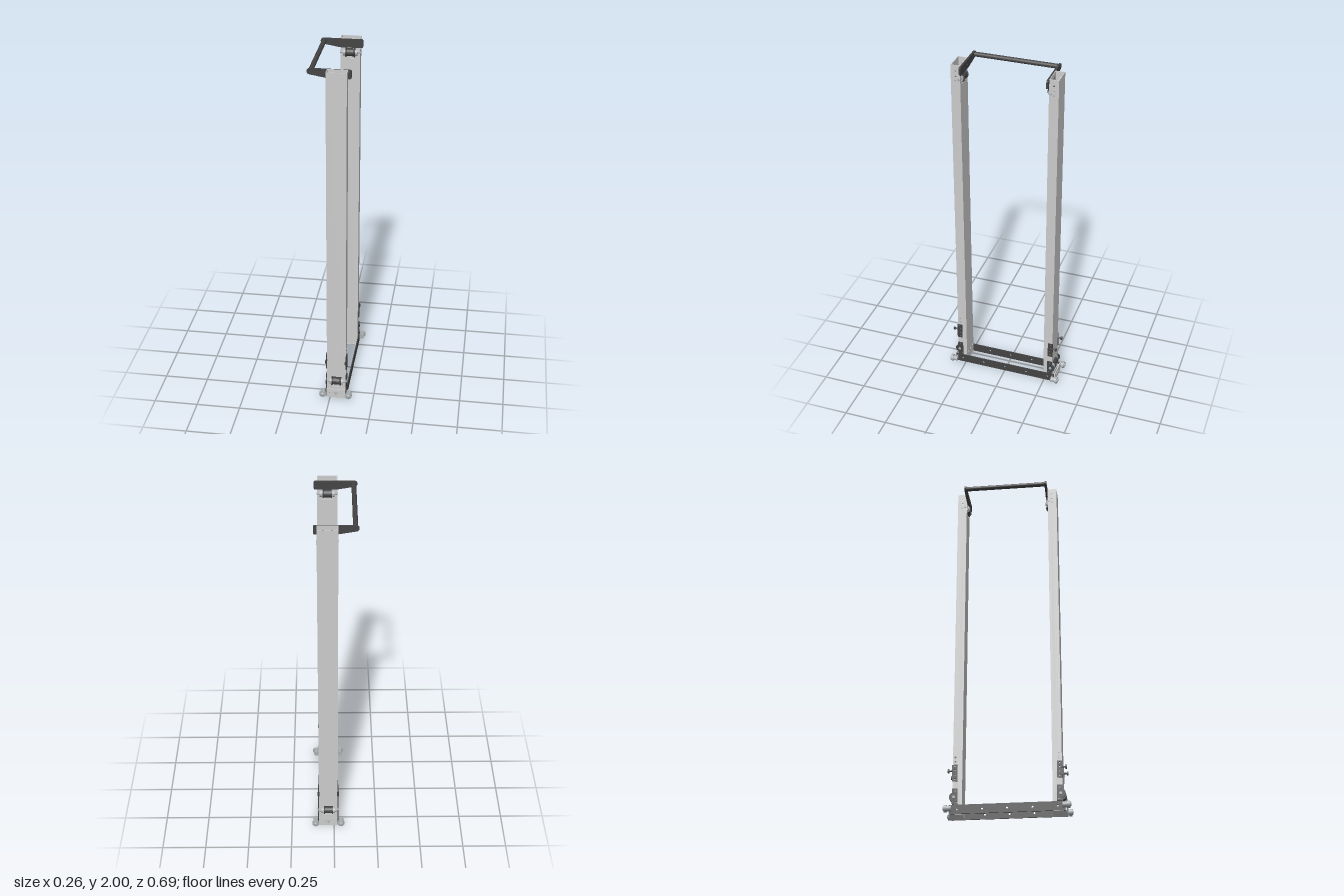
import * as THREE from 'three';

const CX = 0.034; // middle of the columns along x
const grey = new THREE.MeshStandardMaterial({ color: 0xcccccc });
const steel = new THREE.MeshStandardMaterial({ color: 0xaab0b3 });
const dark = new THREE.MeshStandardMaterial({ color: 0x444444 });

function add(parent, name, geo, mat, x = 0, y = 0, z = 0) {
  const m = new THREE.Mesh(geo, mat);
  m.name = name;
  m.position.set(x, y, z);
  parent.add(m);
  return m;
}
const box = (w, h, d) => new THREE.BoxGeometry(w, h, d);
const rodX = (r, len, n = 24) => new THREE.CylinderGeometry(r, r, len, n).rotateZ(Math.PI / 2);
const rodZ = (r, len, n = 24) => new THREE.CylinderGeometry(r, r, len, n).rotateX(Math.PI / 2);

function rect(x0, y0, x1, y1, Type = THREE.Shape) {
  const s = new Type();
  s.moveTo(x0, y0); s.lineTo(x1, y0); s.lineTo(x1, y1); s.lineTo(x0, y1); s.closePath();
  return s;
}
const hole = (x, y, r) => new THREE.Path().absarc(x, y, r, 0, Math.PI * 2, true);

// Sheet in the xy plane, centred on z = 0
function sheet(shape, holes, t) {
  shape.holes.push(...holes);
  return new THREE.ExtrudeGeometry(shape, { depth: t, bevelEnabled: false, curveSegments: 10 }).translate(0, 0, -t / 2);
}
// Sheet drawn in (z, y), facing along x
const sideSheet = (shape, holes, t) => sheet(shape, holes, t).rotateY(-Math.PI / 2);

// Grooved belt pulley with bearings on both sides
function pulley(parent, name, y, z) {
  const g = new THREE.Group();
  g.name = name;
  g.position.set(0, y, z);
  const profile = [[0, -0.026], [0.027, -0.026], [0.027, -0.022], [0.022, -0.02], [0.022, 0.02],
    [0.027, 0.022], [0.027, 0.026], [0, 0.026]].map(p => new THREE.Vector2(...p));
  const drum = new THREE.LatheGeometry(profile, 28).rotateZ(Math.PI / 2).toNonIndexed();
  drum.computeVertexNormals();
  add(g, 'drum', drum, dark);
  for (const s of [-1, 1]) {
    add(g, 'bearing', rodX(0.02, 0.012), steel, s * 0.034);
    add(g, 'axleCollar', rodX(0.011, 0.014), steel, s * 0.046);
  }
  add(g, 'axle', rodX(0.006, 0.116, 16), steel);
  parent.add(g);
}

// One column with its fittings; local +z points outwards
function makeEnd() {
  const g = new THREE.Group();
  const t = 0.004, zi = 0.244, zo = 0.297, hw = 0.055;

  // Hollow rectangular column
  add(g, 'columnOuterWall', sheet(rect(-hw, 0.01, hw, 2),
    [rect(-0.03, 0.065, 0.03, 0.135, THREE.Path)], t), grey, 0, 0, zo - t / 2);
  add(g, 'columnInnerWall', sheet(rect(-hw, 0.01, hw, 2),
    [rect(-0.03, 1.885, 0.03, 1.945, THREE.Path), hole(-0.035, 0.07, 0.005), hole(0, 0.07, 0.005), hole(0.035, 0.07, 0.005)], t),
  grey, 0, 0, zi + t / 2);
  for (const s of [-1, 1]) {
    const holes = [[0.27, 1.965], [0.27, 1.935], [0.283, 0.3], [0.283, 0.325]].map(p => hole(...p, 0.005));
    add(g, 'columnSideWall', sideSheet(rect(zi + t, 0.01, zo - t, 2), holes, t), grey, s * (hw - t / 2));
  }

  pulley(g, 'upperPulley', 1.917, 0.254);
  pulley(g, 'lowerPulley', 0.1, 0.288);

  for (const s of [-1, 1]) {
    // Lower bearing plate with a rounded outer lobe
    const low = new THREE.Shape();
    low.moveTo(0.268, 0.058); low.lineTo(0.297, 0.058); low.lineTo(0.297, 0.077);
    low.absarc(0.289, 0.1, 0.025, -1.2, 1.2, false);
    low.lineTo(0.297, 0.147); low.lineTo(0.268, 0.147); low.closePath();
    add(g, 'bearingPlate', sideSheet(low, [hole(0.282, 0.135, 0.004), hole(0.276, 0.07, 0.004)], 0.005), dark, s * 0.0575);
    add(g, 'bearingBolt', rodX(0.009, 0.006, 6), steel, s * 0.06, 0.1, 0.288);
    // Belt clamp with adjusting knob
    add(g, 'clampPlate', sideSheet(rect(0.27, 0.188, 0.3, 0.282),
      [0.2, 0.225, 0.25, 0.272].map(y => hole(0.284, y, 0.004)), 0.005), dark, s * 0.0575);
    add(g, 'knobStem', rodZ(0.005, 0.02, 12), dark, s * 0.057, 0.247, 0.305);
    add(g, 'knob', rodZ(0.012, 0.009, 16).scale(0.5, 1, 1), dark, s * 0.057, 0.247, 0.319);
    // Side bolts near the top, and arm fixing bolts
    add(g, 'topBolt', rodX(0.005, 0.004, 12), steel, s * 0.055, 1.91, 0.272);
    add(g, 'armBolt', rodZ(0.004, 0.022, 12), dark, s * 0.023, 1.975, 0.24);
  }

  // Foot bracket
  add(g, 'footPlate', box(0.112, 0.006, 0.075), grey, 0, 0.006, 0.28);
  const bar = rect(-0.075, 0.016, 0.075, 0.048);
  add(g, 'wheelBar', sheet(bar, [-0.045, -0.02, 0.02, 0.045].map(x => hole(x, 0.032, 0.006)), 0.006), steel, 0, 0, 0.302);
  add(g, 'footFace', sheet(rect(-0.055, 0.003, 0.055, 0.058),
    [-0.04, -0.015, 0.015, 0.04].map(x => hole(x, 0.032, 0.006)), 0.006), grey, 0, 0, 0.315);
  add(g, 'footBolt', rodZ(0.008, 0.008, 6), steel, 0, 0.032, 0.319);
  for (const s of [-1, 1]) {
    add(g, 'footCheek', box(0.018, 0.03, 0.02), grey, s * 0.046, 0.032, 0.308);
    // Guide wheels
    const wheel = new THREE.Group();
    wheel.name = 'guideWheel';
    wheel.position.set(s * 0.075, 0.031, 0);
    add(wheel, 'hub', rodZ(0.015, 0.026), steel, 0, 0, 0.311);
    add(wheel, 'tyre', rodZ(0.02, 0.015, 32), steel, 0, 0, 0.3305);
    const cap = new THREE.SphereGeometry(0.013, 20, 8, 0, Math.PI * 2, 0, Math.PI / 2).scale(1, 0.55, 1).rotateX(Math.PI / 2);
    add(wheel, 'cap', cap, steel, 0, 0, 0.338);
    g.add(wheel);
  }
  return g;
}

export function createModel() {
  const model = new THREE.Group();
  model.name = 'liftFrame';

  // Matching columns at front and back
  for (const [name, turn] of [['frontColumn', 0], ['backColumn', Math.PI]]) {
    const end = makeEnd();
    end.name = name;
    end.position.x = CX;
    end.rotation.y = turn;
    model.add(end);
  }

  // Bottom side rails
  for (const s of [-1, 1]) {
    add(model, 'bottomRail', sideSheet(rect(-0.312, 0.005, 0.312, 0.056),
      [-0.27, -0.135, 0, 0.135, 0.27].map(z => hole(z, 0.031, 0.006)), 0.006), dark, CX + s * 0.058);
  }

  // Tapered handle arms
  for (const s of [-1, 1]) {
    const arm = new THREE.Shape();
    arm.moveTo(-0.114, 1.966); arm.lineTo(-0.02, 1.95); arm.lineTo(0.098, 1.95);
    arm.quadraticCurveTo(0.106, 1.95, 0.106, 1.958);
    arm.lineTo(0.106, 1.99); arm.quadraticCurveTo(0.106, 1.998, 0.098, 1.998);
    arm.lineTo(-0.112, 1.998);
    arm.absarc(-0.112, 1.982, 0.016, Math.PI / 2, Math.PI * 1.45, false);
    add(model, 'handleArm', sheet(arm, [hole(-0.112, 1.982, 0.005)], 0.011), dark, 0, 0, s * 0.239);
  }
  // Grip bar between the arms
  add(model, 'gripBar', rodZ(0.013, 0.468, 24), dark, -0.109, 1.982);
  return model;
}
